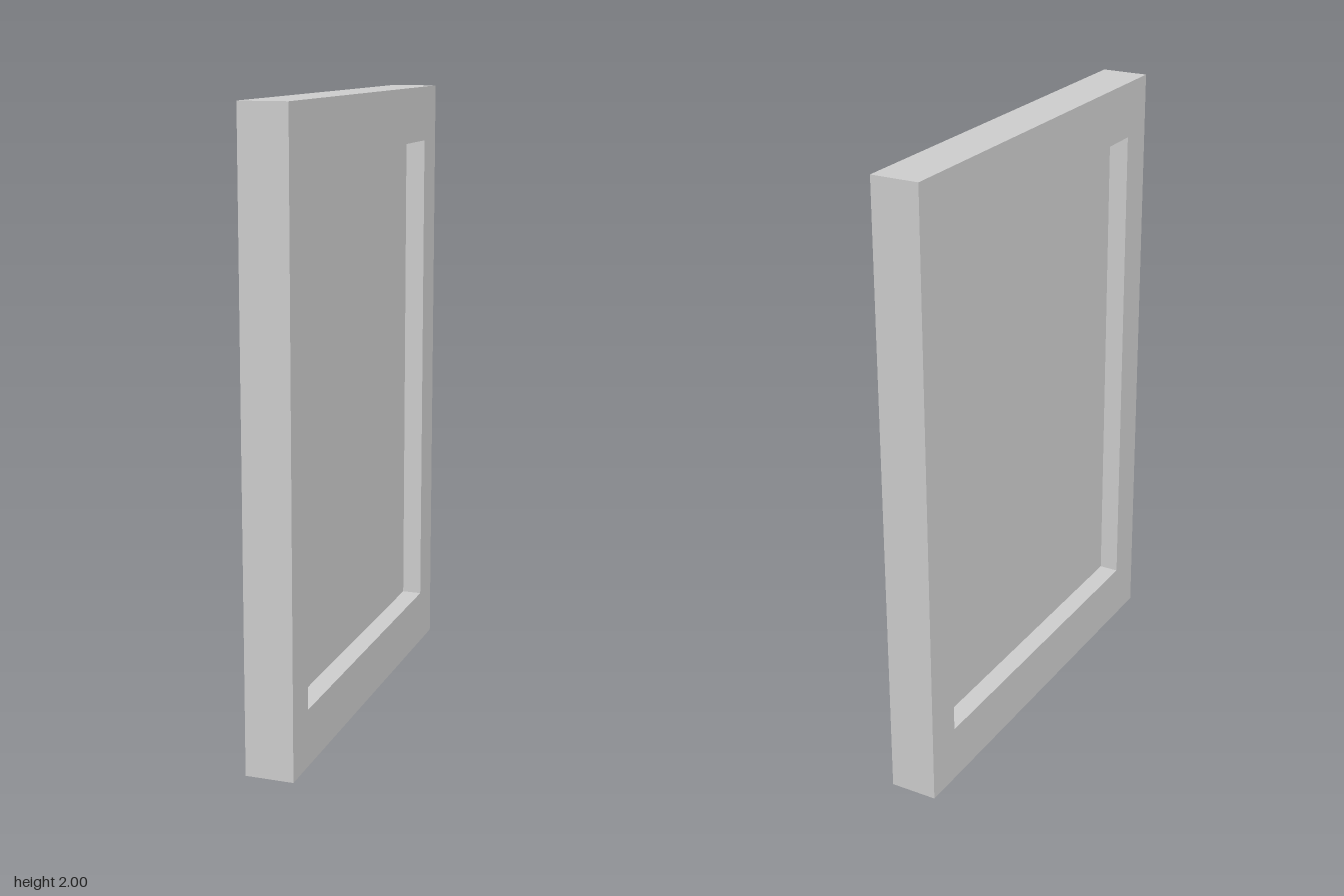
import * as THREE from 'three';

const HEIGHT = 2, WIDTH = 1.415, DEPTH = 0.154;
const OPEN_W = 1.16, OPEN_BOTTOM = 0.183, OPEN_TOP = 1.818;
const PANEL_DEPTH = 0.024;

// Adds the corners of a rectangle centred on x = 0 to a shape or path
function rectangle(path, width, bottom, top) {
  const w = width / 2;
  path.moveTo(-w, bottom);
  path.lineTo(w, bottom);
  path.lineTo(w, top);
  path.lineTo(-w, top);
  path.closePath();
  return path;
}

export function createModel() {
  const group = new THREE.Group();
  group.name = 'framedPanel';
  const material = new THREE.MeshStandardMaterial({ color: 0xcccccc });

  // Rectangular frame, extruded through its thickness and turned to face sideways
  const outline = rectangle(new THREE.Shape(), WIDTH, 0, HEIGHT);
  outline.holes.push(rectangle(new THREE.Path(), OPEN_W, OPEN_BOTTOM, OPEN_TOP));
  const frameGeometry = new THREE.ExtrudeGeometry(outline, { depth: DEPTH, bevelEnabled: false });
  frameGeometry.translate(0, 0, -DEPTH / 2).rotateY(Math.PI / 2);
  const frame = new THREE.Mesh(frameGeometry, material);
  frame.name = 'frame';
  group.add(frame);

  // Thin panel filling the opening, recessed equally on both faces
  const panel = new THREE.Mesh(
    new THREE.BoxGeometry(PANEL_DEPTH, OPEN_TOP - OPEN_BOTTOM, OPEN_W), material);
  panel.name = 'panel';
  panel.position.y = (OPEN_TOP + OPEN_BOTTOM) / 2;
  group.add(panel);

  return group;
}
